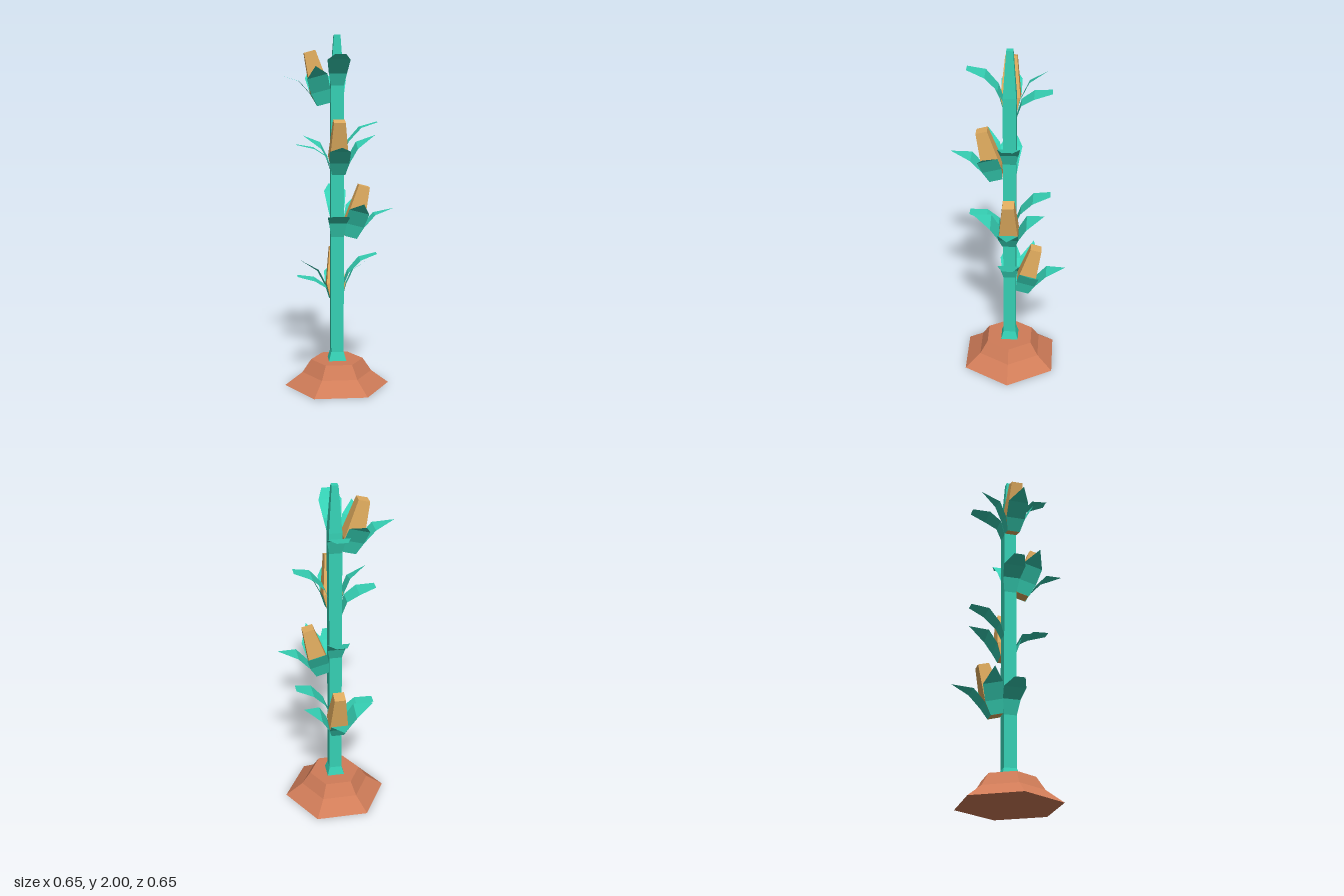
import * as THREE from 'three';

const mat = (color) => new THREE.MeshStandardMaterial({ color, flatShading: true, side: THREE.DoubleSide });
const green = mat(0x35d0b4);
const gold = mat(0xdfab5e);
const soil = mat(0xd07c58);

function part(name, geometry, material) {
  const mesh = new THREE.Mesh(geometry, material);
  mesh.name = name;
  return mesh;
}

// Square column aligned to the axes; profile rows are [halfWidth, height]
function squareColumn(rows) {
  const pts = rows.map(([h, y]) => new THREE.Vector2(h * Math.SQRT2, y));
  return new THREE.LatheGeometry(pts, 4, Math.PI / 4);
}

// Flat folded leaf growing along +x; rows are [reach, height, halfWidth]
function leafGeometry(rows) {
  const pos = [], index = [];
  rows.forEach(([r, y, w], i) => {
    pos.push(r, y, w, r, y, -w);
    if (i === 0) return;
    const a = 2 * i - 2;
    index.push(a, a + 2, a + 1);
    index.push(a + 1, a + 2, a + 3);
  });
  const g = new THREE.BufferGeometry();
  g.setAttribute('position', new THREE.Float32BufferAttribute(pos, 3));
  g.setIndex(index);
  g.computeVertexNormals();
  return g;
}

export function createModel() {
  const model = new THREE.Group();
  model.name = 'cornPlant';

  // Six-sided earth mound with a corner on each side
  const mound = [[0, 0], [0.3, 0], [0.2, 0.075], [0.15, 0.15], [0, 0.15]].map(([r, y]) => new THREE.Vector2(r, y));
  model.add(part('mound', new THREE.LatheGeometry(mound, 6, Math.PI / 2), soil));

  // Square stalk, flared at the foot and tapered at the tip
  model.add(part('stalk', squareColumn([[0, 0.15], [0.05, 0.15], [0.036, 0.2], [0.036, 1.74], [0.018, 2], [0, 2]]), green));

  const cobGeo = squareColumn([[0, 0], [0.035, 0], [0.054, 0.08], [0.032, 0.3], [0, 0.3]]);
  const huskGeo = leafGeometry([[0.036, 0, 0.037], [0.057, 0.075, 0.055], [0.1, 0.16, 0.058], [0.2, 0.22, 0]]);
  const upperLeafGeo = leafGeometry([[0.035, 0.1, 0.035], [0.062, 0.17, 0.05], [0.13, 0.245, 0.063], [0.227, 0.275, 0.03]]);
  const lowerLeafGeo = leafGeometry([[0.035, 0, 0.035], [0.062, 0.085, 0.05], [0.13, 0.13, 0.063], [0.227, 0.15, 0.03]]);

  // Four tiers, each a quarter turn from the last
  for (let i = 0; i < 4; i++) {
    const tier = new THREE.Group();
    tier.name = 'tier' + (i + 1);
    tier.position.y = 0.495 + 0.375 * i;
    tier.rotation.y = (1 - i) * Math.PI / 2;

    // Ear leaning away from the stalk, wrapped by three pointed husks
    const ear = new THREE.Group();
    ear.name = 'ear';
    ear.position.x = 0.075;
    ear.rotation.z = -0.262;
    ear.add(part('cob', cobGeo, gold));
    for (const k of [-1, 0, 1]) {
      const husk = part('huskLeaf', huskGeo, green);
      husk.rotation.y = k * Math.PI / 2;
      ear.add(husk);
    }
    tier.add(ear);

    // Two blunt leaves on opposite sides of the stalk; the lowest tier is mirrored
    const side = i === 0 ? -1 : 1;
    const upper = part('upperLeaf', upperLeafGeo, green);
    upper.rotation.y = side * Math.PI / 2;
    const lower = part('lowerLeaf', lowerLeafGeo, green);
    lower.rotation.y = -side * Math.PI / 2;
    tier.add(upper, lower);
    model.add(tier);
  }
  return model;
}
